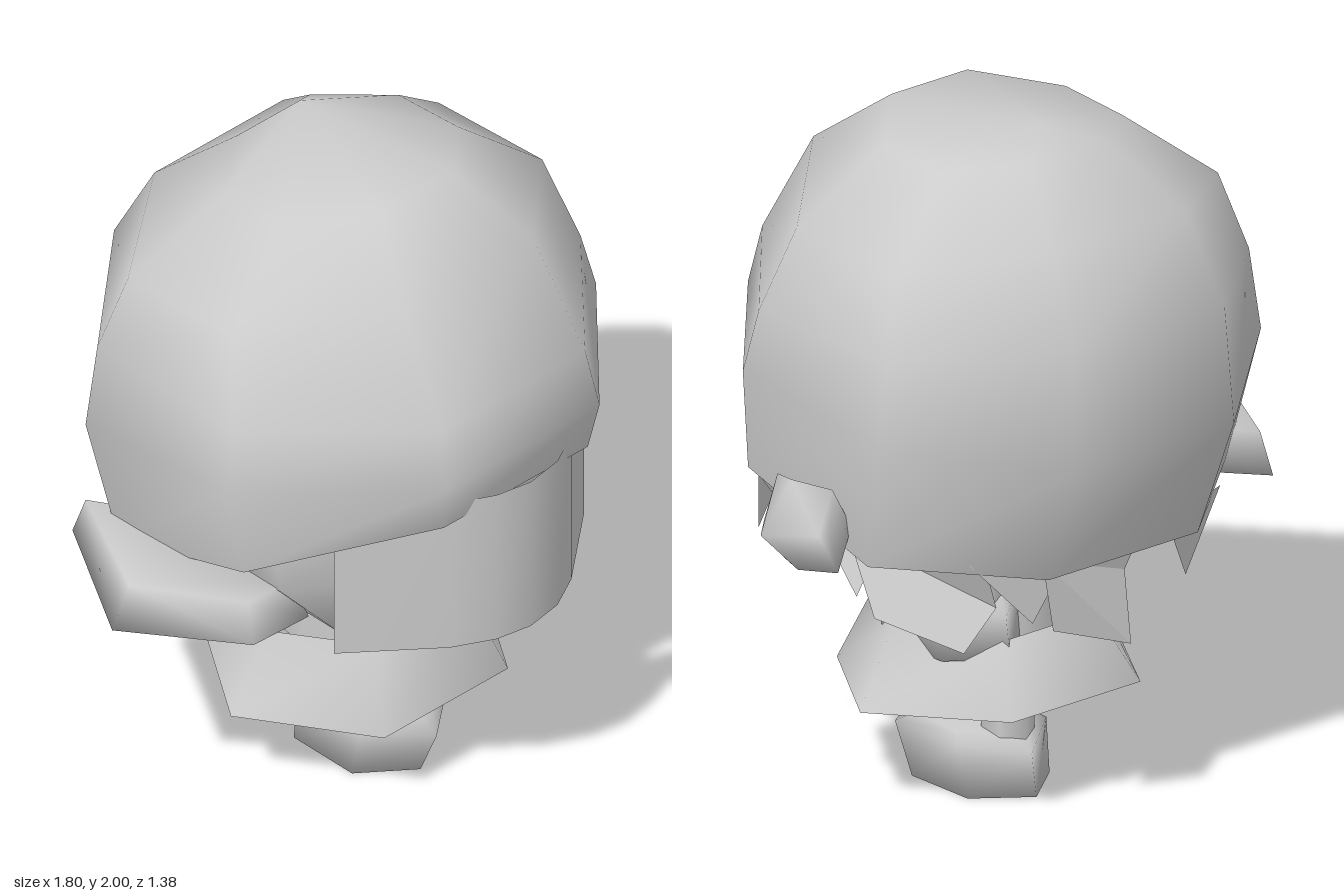
import * as THREE from 'three';
import { mergeVertices } from 'three/addons/utils/BufferGeometryUtils.js';

const material = new THREE.MeshStandardMaterial({ color: 0xcccccc, side: THREE.DoubleSide });

// Skin stacked rings, listed from bottom to top.
// ring: [xMin, xMax, zBack, zFront, yBack, yMiddle, yFront]
// shift slides the side corners along z without moving front and back
function loft(rings, sides, turn = 0.5, shift = 0) {
  const pos = [], index = [];
  for (const [x0, x1, z0, z1, yb, ym, yf] of rings) {
    for (let i = 0; i < sides; i++) {
      const a = ((i + turn) / sides) * Math.PI * 2;
      const k = turn ? 1 / Math.cos(Math.PI / sides) : 1;
      const c = Math.cos(a) * k, s = Math.sin(a) * k;
      const mean = (yb + yf) / 2, side = 1 - s * s;
      pos.push((x0 + x1) / 2 + (c * (x1 - x0)) / 2, mean + (s * (yf - yb)) / 2 + (ym - mean) * side,
        (z0 + z1) / 2 + ((s + shift * side) * (z1 - z0)) / 2);
    }
  }
  for (let r = 0; r < rings.length - 1; r++) {
    for (let i = 0; i < sides; i++) {
      const a = r * sides + i, b = r * sides + ((i + 1) % sides);
      index.push(a, a + sides, b, b, a + sides, b + sides);
    }
  }
  let g = new THREE.BufferGeometry();
  g.setAttribute('position', new THREE.Float32BufferAttribute(pos, 3));
  g.setIndex(index);
  g = mergeVertices(g, 1e-4);
  g.computeVertexNormals();
  return g;
}

// Flat fan through a few corner points
function shard(...points) {
  const g = new THREE.BufferGeometry();
  const tris = [];
  for (let i = 1; i < points.length - 1; i++) tris.push(...points[0], ...points[i], ...points[i + 1]);
  g.setAttribute('position', new THREE.Float32BufferAttribute(tris, 3));
  g.computeVertexNormals();
  return g;
}

export function createModel() {
  const model = new THREE.Group();
  const add = (name, geometry, parent = model) => {
    const mesh = new THREE.Mesh(geometry, material);
    mesh.name = name;
    parent.add(mesh);
    return mesh;
  };

  // Large eight-sided cap, open below, lower at the back
  add('cap', loft([
    [-0.62, 0.70, -0.57, 0.63, 0.81, 0.92, 1.17],
    [-0.67, 0.73, -0.69, 0.67, 1.16, 1.27, 1.33],
    [-0.63, 0.69, -0.67, 0.63, 1.50, 1.47, 1.50],
    [-0.56, 0.62, -0.54, 0.45, 1.75, 1.70, 1.81],
    [-0.30, 0.37, -0.33, 0.24, 1.93, 1.91, 1.97],
    [0.07, 0.07, -0.26, -0.26, 2.0, 2.0, 2.0],
  ], 8, 0.5, -0.08));

  // Face under the cap, tapering to the chin
  add('head', loft([
    [0.06, 0.06, 0.22, 0.22, 0.55, 0.55, 0.55],
    [-0.10, 0.22, 0.05, 0.45, 0.58, 0.57, 0.60],
    [-0.36, 0.42, -0.02, 0.52, 0.72, 0.73, 0.72],
    [-0.54, 0.60, -0.28, 0.54, 0.88, 0.92, 0.95],
    [-0.54, 0.60, -0.40, 0.54, 1.05, 1.08, 1.15],
  ], 8));

  // Bent visor sheet
  const bend = [[-0.44, 0.41], [-0.19, 0.61], [-0.07, 0.67], [0.04, 0.69], [0.16, 0.67], [0.27, 0.61], [0.51, 0.41]];
  const visor = new THREE.PlaneGeometry(1, 0.49, bend.length - 1, 1);
  const vp = visor.attributes.position;
  for (let i = 0; i < vp.count; i++) {
    const [x, z] = bend[i % bend.length];
    vp.setXYZ(i, x, vp.getY(i) + 0.975, z);
  }
  visor.computeVertexNormals();
  add('visor', visor);

  // Blocky hand at the left side, set on its edge
  const hand = add('leftHand', loft([
    [0, 0, 0, 0, -0.12, -0.12, -0.12],
    [-0.08, 0.04, -0.12, 0.12, -0.12, -0.12, -0.12],
    [-0.12, 0.13, -0.13, 0.13, 0.02, 0.02, 0.02],
    [-0.09, 0.03, -0.12, 0.12, 0.12, 0.12, 0.12],
    [0, 0, 0, 0, 0.13, 0.13, 0.13],
  ], 4, 0));
  hand.position.set(0.77, 0.94, -0.06);
  hand.rotation.x = Math.PI / 2 + 0.1;

  // Flat flared slab at the right side
  const outline = [[-0.90, 0.01], [-0.66, 0.32], [-0.45, 0.32], [-0.42, -0.1], [-0.65, -0.41]];
  const slab = new THREE.Shape(outline.map(([x, z]) => new THREE.Vector2(x, -z)));
  let slabGeometry = new THREE.ExtrudeGeometry(slab, { depth: 0.12, bevelEnabled: false });
  slabGeometry.rotateX(-Math.PI / 2);
  const sp = slabGeometry.attributes.position;
  for (let i = 0; i < sp.count; i++) {
    if (sp.getY(i) > 0.06) sp.setXYZ(i, -0.6 + (sp.getX(i) + 0.6) * 0.78, sp.getY(i), sp.getZ(i) * 0.9);
    sp.setY(i, sp.getY(i) + 0.83 - Math.max(0, sp.getX(i) + 0.85) * 0.04);
  }
  slabGeometry.deleteAttribute('normal');
  slabGeometry.deleteAttribute('uv');
  slabGeometry = mergeVertices(slabGeometry);
  slabGeometry.computeVertexNormals();
  add('rightHand', slabGeometry);

  // Pointed locks of hair under the cap
  const hair = new THREE.Group();
  hair.name = 'hair';
  model.add(hair);
  add('leftLock', shard([0.65, 0.90, -0.12], [0.66, 0.69, -0.24], [0.50, 0.60, -0.43], [0.39, 0.71, -0.44], [0.45, 0.86, -0.46]), hair);
  add('rightLock', shard([-0.60, 0.85, 0.02], [-0.59, 0.69, -0.02], [-0.44, 0.60, 0.04], [-0.27, 0.70, -0.25], [-0.40, 0.88, -0.32]), hair);
  for (const s of [-1, 1]) {
    const p = (x, y, z) => [0.03 + s * x, y, z];
    add('backLock', shard(p(0.46, 0.86, -0.44), p(0.28, 0.66, -0.50), p(0.18, 0.85, -0.54)), hair);
    add('smallLock', shard(p(0.62, 0.90, 0.0), p(0.66, 0.75, -0.2), p(0.48, 0.84, -0.1)), hair);
  }
  add('backLock', shard([0.30, 0.85, -0.53], [0.27, 0.64, -0.54], [0.02, 0.55, -0.58], [0.0, 0.75, -0.53], [-0.04, 0.85, -0.55]), hair);

  // Open six-sided flared skirt
  add('skirt', loft([
    [-0.44, 0.50, -0.42, 0.42, 0.32, 0.30, 0.30],
    [-0.31, 0.37, -0.29, 0.31, 0.50, 0.53, 0.53],
  ], 6, 0));

  // Standing leg and raised leg, each with a blocky shoe
  const shoe = loft([
    [0.05, 0.05, 0, 0, 0, 0, 0],
    [-0.10, 0.20, -0.19, 0.21, 0, 0, 0],
    [-0.10, 0.23, -0.185, 0.255, 0.14, 0.17, 0.14],
    [-0.06, 0.18, -0.10, 0.19, 0.16, 0.18, 0.18],
    [0.06, 0.06, 0.05, 0.05, 0.18, 0.18, 0.18],
  ], 6);
  const legs = [
    ['standing', 0, 0, 0, 0.03, 0.40, -0.08, 0.075],
    ['raised', 0.13, 0.45, -0.04, 0.19, 0.26, -0.11, 0.09],
  ];
  for (const [name, x, y, z, legX, length, legZ, radius] of legs) {
    add(name + 'Shoe', shoe).position.set(x, y, z);
    const leg = add(name + 'Leg', new THREE.CylinderGeometry(radius, radius, length, 6, 1, true));
    leg.position.set(legX, y + 0.13 + length / 2, legZ);
  }

  // Curved chest panel between skirt and head
  const chest = new THREE.CylinderGeometry(0.21, 0.21, 0.17, 8, 1, true, Math.PI * 0.75, Math.PI * 1.25);
  add('chest', chest).position.set(0, 0.535, 0.02);

  return model;
}
